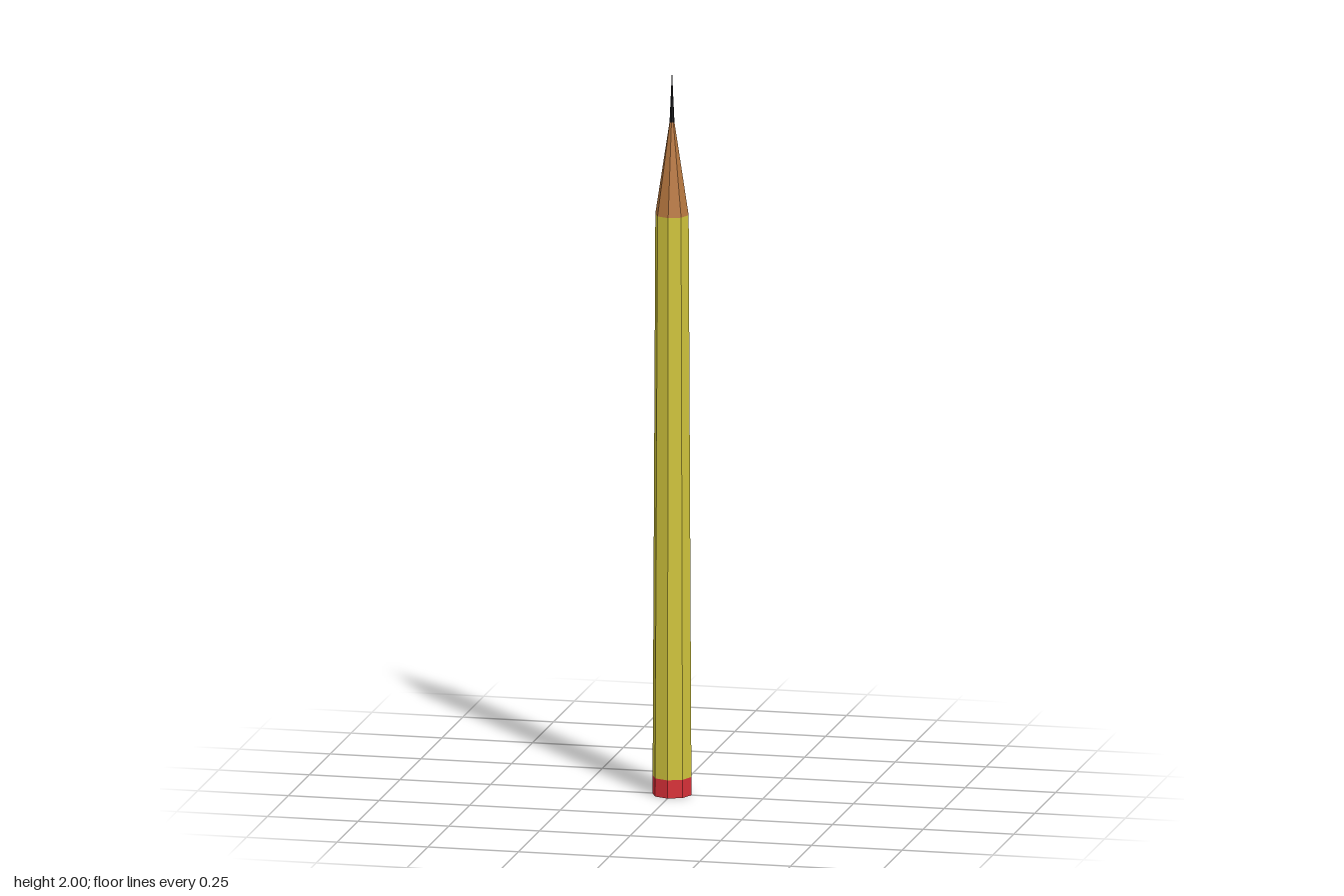
import * as THREE from 'three';

const SIDES = 8;

export function createModel() {
  const pencil = new THREE.Group();
  pencil.name = 'pencil';

  // One eight-sided tapered section of the pencil, from y0 up to y1
  function section(name, color, r0, r1, y0, y1, open = false) {
    const geometry = new THREE.CylinderGeometry(r1, r0, y1 - y0, SIDES, 1, open);
    const material = new THREE.MeshStandardMaterial({ color, flatShading: true });
    const mesh = new THREE.Mesh(geometry, material);
    mesh.name = name;
    mesh.position.y = (y0 + y1) / 2;
    pencil.add(mesh);
  }

  section('eraser', 0xd83038, 0.054, 0.0535, 0, 0.05);
  section('paintedBody', 0xd0c43c, 0.0535, 0.046, 0.05, 1.6, true);
  section('sharpenedWood', 0xb87840, 0.046, 0.006, 1.6, 1.86, true);
  section('leadTip', 0x1c1c20, 0.007, 0, 1.85, 2);

  return pencil;
}
